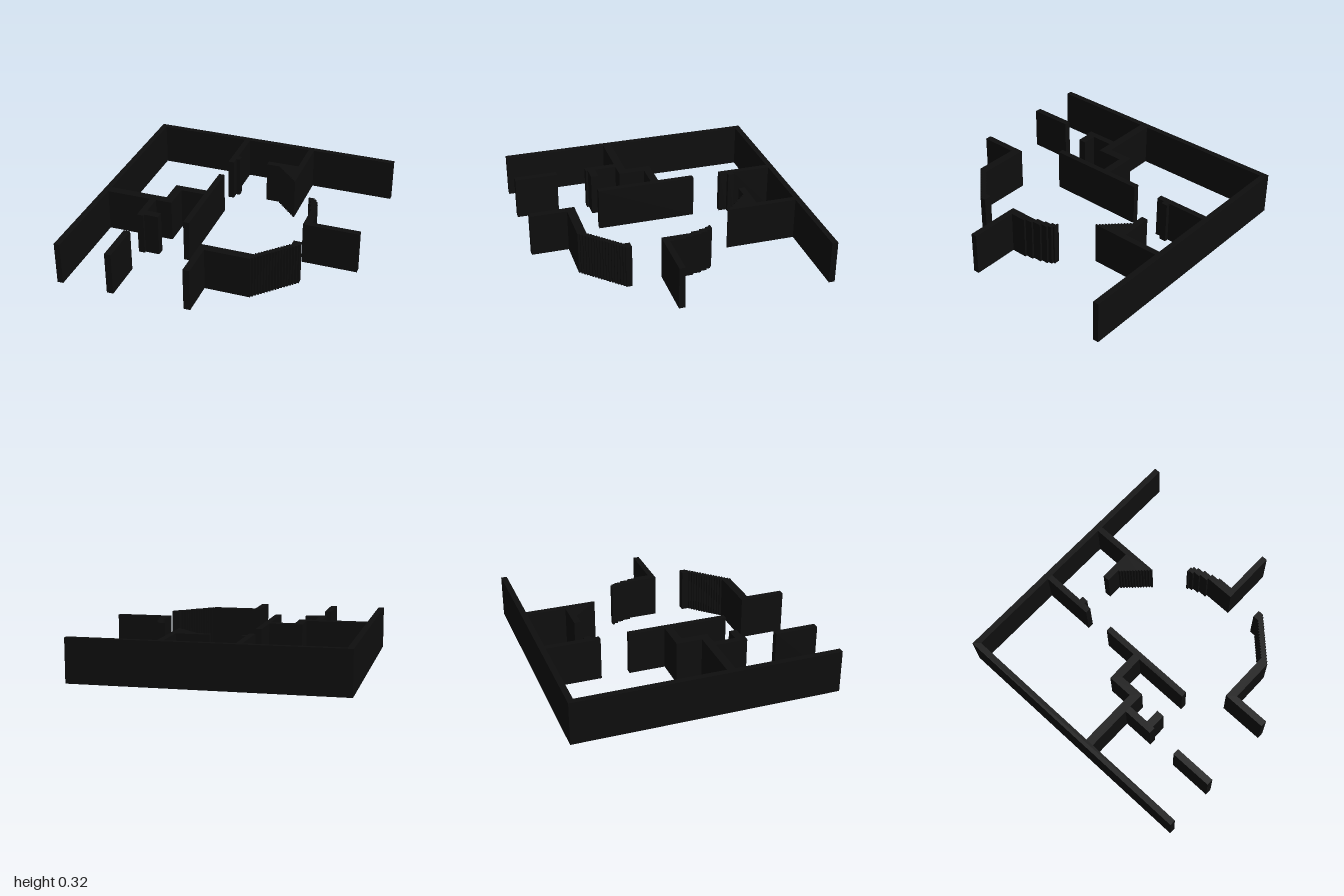
import * as THREE from 'three';

const HEIGHT = 0.325;

// Stepped edge between two plan points; each step moves along x or z first
function stairs(x0, z0, x1, z1, n, xFirst) {
  const points = [];
  const dx = (x1 - x0) / n, dz = (z1 - z0) / n;
  for (let i = 0; i < n; i++) {
    const x = x0 + dx * i, z = z0 + dz * i;
    points.push([x, z], xFirst ? [x + dx, z] : [x, z + dz]);
  }
  points.push([x1, z1]);
  return points;
}

// Plan outline of a straight wall
const rect = (x0, z0, x1, z1) => [[x0, z0], [x1, z0], [x1, z1], [x0, z1]];

export function createModel() {
  const model = new THREE.Group();
  model.name = 'floorPlanWalls';
  const wallBlack = new THREE.MeshStandardMaterial({ color: 0x0e0e0e });
  wallBlack.name = 'wallBlack';

  // Raises a plan outline of [x, z] points to the wall height
  function wall(name, outline) {
    const shape = new THREE.Shape(outline.map(([x, z]) => new THREE.Vector2(x, -z)));
    const geometry = new THREE.ExtrudeGeometry(shape, { depth: HEIGHT, bevelEnabled: false });
    geometry.rotateX(-Math.PI / 2);
    const mesh = new THREE.Mesh(geometry, wallBlack);
    mesh.name = name;
    model.add(mesh);
  }

  // Outer corner: back wall and right-hand side wall
  wall('outerWalls', [[-1, -1], [1, -1], [1, -0.955], [-0.955, -0.955], [-0.955, 1], [-1, 1]]);

  // Partition off the back wall with a small door stub
  wall('backPartition', [
    [-0.25, -0.955], [-0.205, -0.955], [-0.205, -0.66], [-0.175, -0.66],
    [-0.175, -0.61], [-0.205, -0.61], [-0.205, -0.55], [-0.25, -0.55],
  ]);

  // Closet wall with a stepped solid corner
  wall('closetWall', [
    [0.30, -0.955], [0.345, -0.955], [0.345, -0.42],
    ...stairs(0.335, -0.42, 0.15, -0.61, 12, false),
    [0.055, -0.61], [0.055, -0.66], [0.30, -0.66],
  ]);

  // Long central partition
  wall('centralPartition', rect(-0.25, -0.335, -0.205, 0.425));

  // Jogged wall from the side wall to the central partition
  wall('joggedWall', [
    [-0.955, 0.135], [-0.5, 0.135], [-0.5, -0.06], [-0.25, -0.06],
    [-0.25, 0], [-0.435, 0], [-0.435, 0.2], [-0.955, 0.2],
  ]);

  // Hooked partition below the jogged wall, and its continuation past the doorway
  wall('hookedPartition', [
    [-0.61, 0.2], [-0.56, 0.2], [-0.56, 0.365], [-0.45, 0.365],
    [-0.45, 0.425], [-0.56, 0.425], [-0.56, 0.44], [-0.61, 0.44],
  ]);
  wall('frontPartition', rect(-0.61, 0.67, -0.56, 1));

  // Entrance wall with a stepped diagonal and an end post
  wall('diagonalWall', [
    [-0.025, 0.655], [0.365, 0.655],
    ...stairs(0.375, 0.655, 0.58, 0.45, 13, false),
    [0.58, 0.395], [0.64, 0.395], [0.64, 0.44],
    ...stairs(0.625, 0.44, 0.365, 0.705, 16, false),
    [0.365, 0.72], [0.025, 0.72], [0.025, 1], [-0.025, 1],
  ]);

  // Side wall ending in a stepped curve
  wall('curvedWall', [
    [0.515, -0.22], [0.56, -0.22], [0.56, -0.205], [0.578, -0.205], [0.578, -0.175],
    [0.594, -0.175], [0.594, -0.125], [0.61, -0.125], [0.61, -0.06], [0.625, -0.06],
    [0.625, 0], [0.64, 0], [0.64, 0.12], [1, 0.12], [1, 0.165], [0.58, 0.165],
    [0.58, -0.06], [0.562, -0.06], [0.562, -0.125], [0.547, -0.125], [0.547, -0.175],
    [0.53, -0.175], [0.53, -0.205], [0.515, -0.205],
  ]);

  return model;
}
